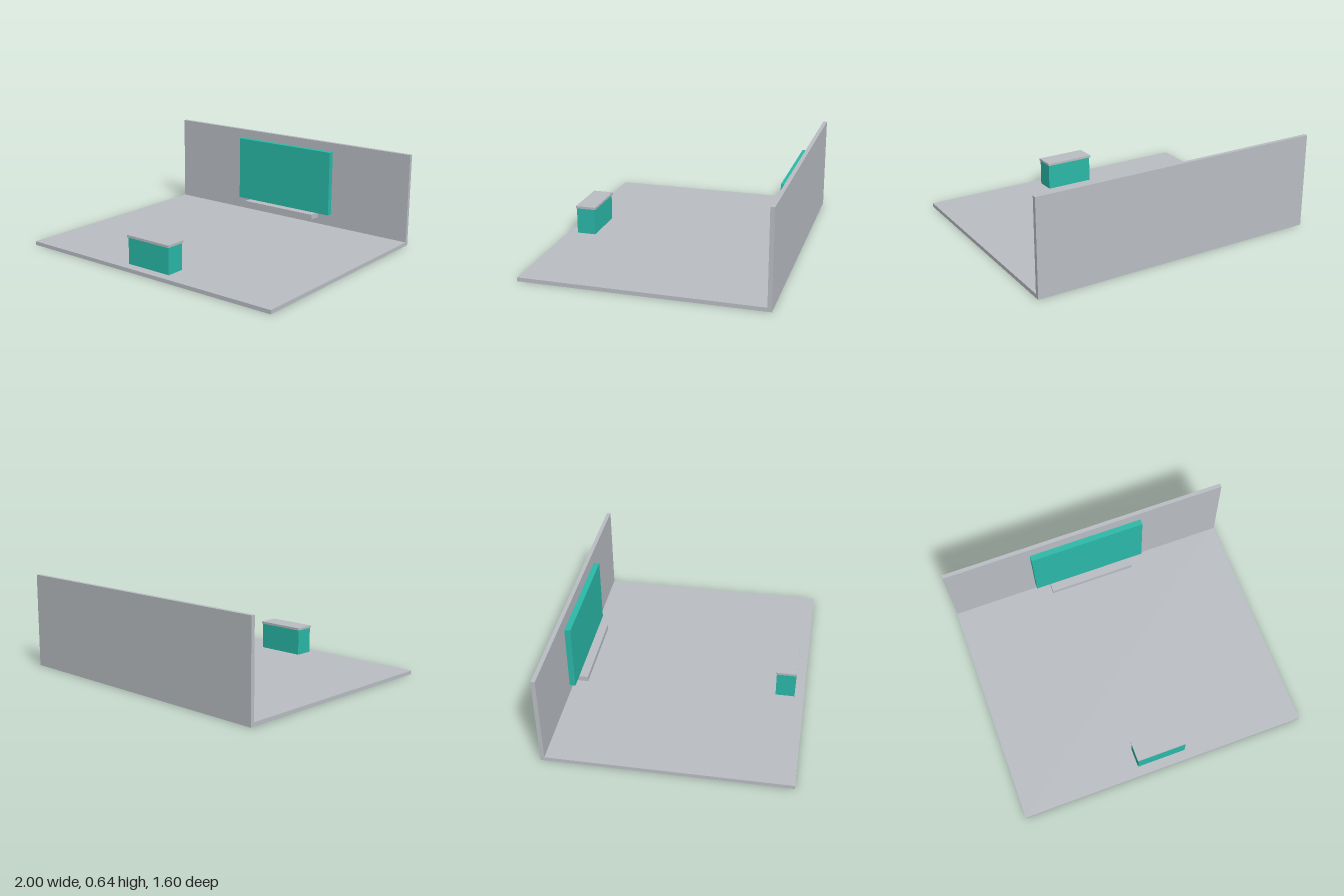
import * as THREE from 'three';

const grey = new THREE.MeshStandardMaterial({ name: 'panel grey', color: 0xb9bdc2 });
const teal = new THREE.MeshStandardMaterial({ name: 'display teal', color: 0x2ab8a8 });

// Box centred on x = 0, given its width and its y and z extents
function slab(name, material, width, [y0, y1], [z0, z1]) {
  const mesh = new THREE.Mesh(new THREE.BoxGeometry(width, y1 - y0, z1 - z0), material);
  mesh.name = name;
  mesh.position.set(0, (y0 + y1) / 2, (z0 + z1) / 2);
  return mesh;
}

export function createModel() {
  const model = new THREE.Group();
  model.name = 'exhibitionBooth';

  // Open platform with a low wall along the back
  model.add(
    slab('floor', grey, 2, [0, 0.026], [-0.8, 0.8]),
    slab('backWall', grey, 2, [0.026, 0.64], [-0.8, -0.773])
  );

  // Wall display with a shelf below it
  const display = new THREE.Group();
  display.name = 'wallDisplay';
  display.add(
    slab('displayPanel', teal, 0.8, [0.12, 0.58], [-0.76, -0.72]),
    slab('shelf', grey, 0.6, [0.084, 0.12], [-0.746, -0.66])
  );

  // Reception counter near the front edge, set down into the floor
  const counter = new THREE.Group();
  counter.name = 'counter';
  counter.add(
    slab('counterBody', teal, 0.34, [0, 0.206], [0.607, 0.735]),
    slab('counterTop', grey, 0.352, [0.206, 0.222], [0.6, 0.741])
  );

  model.add(display, counter);
  return model;
}
